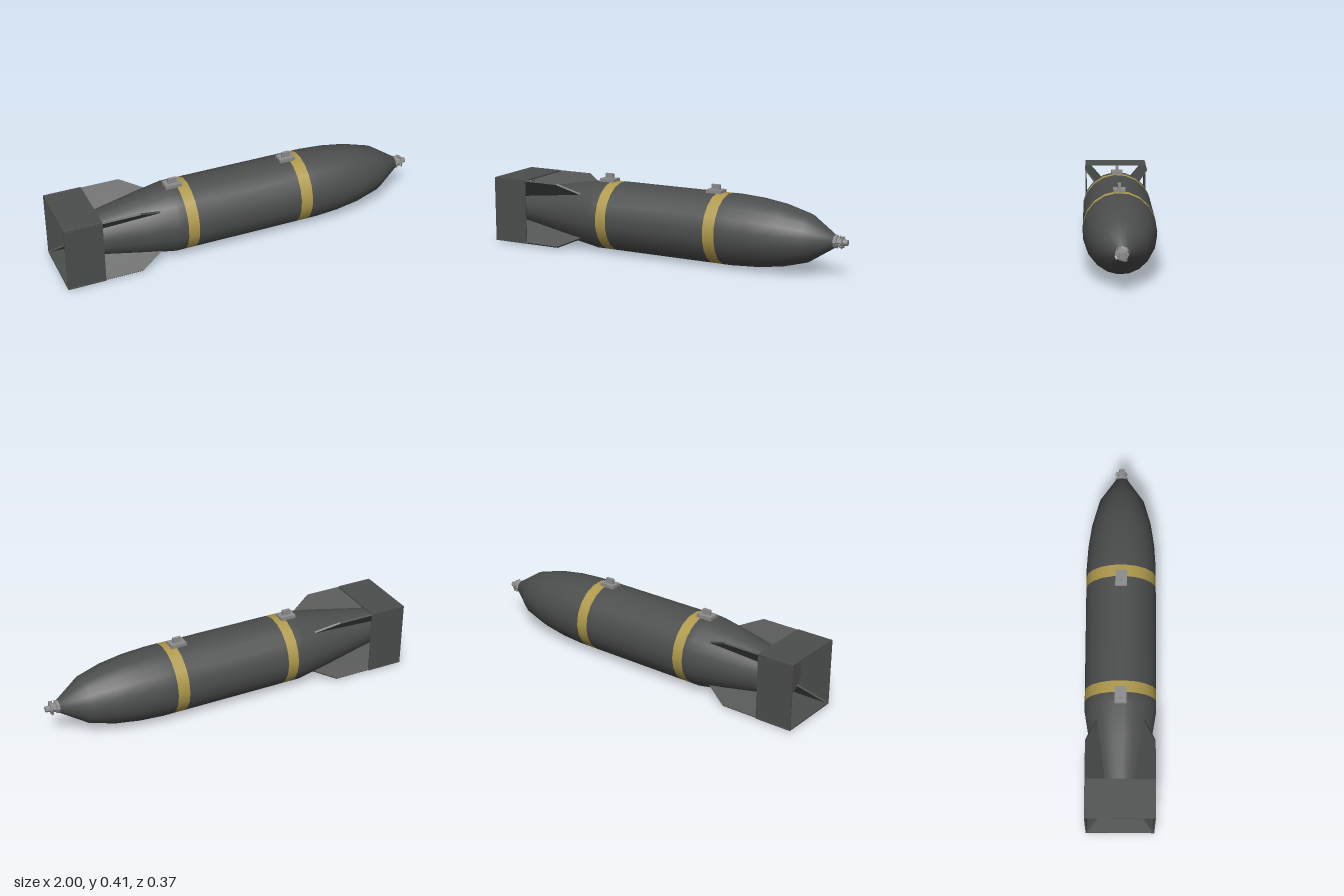
import * as THREE from 'three';

const SIDES = 19, AXIS_Y = 0.19, AXIS_Z = 0.0015;

export function createModel() {
  const model = new THREE.Group();
  const shell = new THREE.MeshStandardMaterial({ color: 0x4c4e4d });
  const gold = new THREE.MeshStandardMaterial({ color: 0xb09a4c });
  const metal = new THREE.MeshStandardMaterial({ color: 0x8c8c8c });
  const metalFlat = new THREE.MeshStandardMaterial({ color: 0x8c8c8c, flatShading: true });

  // everything round or radial hangs on the long axis
  const axis = new THREE.Group();
  axis.name = 'casing';
  axis.position.set(0, AXIS_Y, AXIS_Z);
  model.add(axis);

  function add(parent, name, geometry, material) {
    const mesh = new THREE.Mesh(geometry, material);
    mesh.name = name;
    parent.add(mesh);
    return mesh;
  }

  // turned section along x from [x, radius] pairs, tail to nose
  function turned(name, profile, material, sides = SIDES) {
    const points = profile.map(([x, r]) => new THREE.Vector2(r, x));
    const geometry = new THREE.LatheGeometry(points, sides, Math.PI);
    geometry.rotateZ(-Math.PI / 2);
    return add(axis, name, geometry, material);
  }

  // casing with painted bands
  const R = 0.187;
  turned('tailCone', [[-0.88, 0.098], [-0.8, 0.113], [-0.55, 0.162], [-0.4, R], [-0.35, R]], shell);
  turned('rearBand', [[-0.35, R], [-0.29, R]], gold);
  turned('middleCasing', [[-0.29, R], [0.285, R]], shell);
  turned('frontBand', [[0.285, R], [0.35, R]], gold);
  turned('noseCasing', [[0.35, R], [0.4, R], [0.53, 0.179], [0.66, 0.16], [0.795, 0.123],
    [0.93, 0.035], [0.932, 0]], shell);
  turned('tailCap', [[-0.88, 0], [-0.88, 0.098]], shell);

  // nose fuze with small vanes
  turned('fuzeBody', [[0.92, 0.034], [0.945, 0.034], [0.948, 0.024], [0.965, 0.024],
    [0.967, 0.03], [0.975, 0.03], [0.977, 0.017], [1, 0.015], [1, 0]], metalFlat, 8);
  for (let i = 0; i < 4; i++) {
    const holder = new THREE.Group();
    holder.name = 'fuzeVane';
    holder.rotation.x = i * Math.PI / 2 + 0.45;
    axis.add(holder);
    const vane = add(holder, 'vaneBlade', new THREE.BoxGeometry(0.006, 0.02, 0.02), metal);
    vane.position.set(0.967, 0.026, 0);
    vane.rotation.y = 0.6;
  }

  // four diagonal fins
  const finShape = new THREE.Shape([[-0.46, 0.16], [-0.6, 0.246], [-1, 0.246], [-0.88, 0.09]]
    .map(([x, r]) => new THREE.Vector2(x, r)));
  const finGeometry = new THREE.ExtrudeGeometry(finShape, { depth: 0.01, bevelEnabled: false });
  finGeometry.translate(0, 0, -0.005);
  for (let i = 0; i < 4; i++) {
    add(axis, 'tailFin', finGeometry, shell).rotation.x = Math.PI / 4 + i * Math.PI / 2;
  }

  // square open box round the tail
  const square = h => [[-h, -h], [h, -h], [h, h], [-h, h]].map(([x, y]) => new THREE.Vector2(x, y));
  const boxShape = new THREE.Shape(square(0.177));
  boxShape.holes.push(new THREE.Path(square(0.17).reverse()));
  const boxGeometry = new THREE.ExtrudeGeometry(boxShape, { depth: 0.2, bevelEnabled: false });
  boxGeometry.rotateY(Math.PI / 2);
  add(axis, 'tailBox', boxGeometry, shell).position.x = -1;

  // two suspension lugs
  for (const x of [-0.368, 0.272]) {
    const lug = new THREE.Group();
    lug.name = 'suspensionLug';
    lug.position.set(x, 0, AXIS_Z);
    model.add(lug);
    add(lug, 'lugBase', new THREE.BoxGeometry(0.086, 0.03, 0.062), metal).position.y = 0.375;
    add(lug, 'lugTab', new THREE.BoxGeometry(0.045, 0.036, 0.016), metal).position.y = 0.398;
  }

  return model;
}
